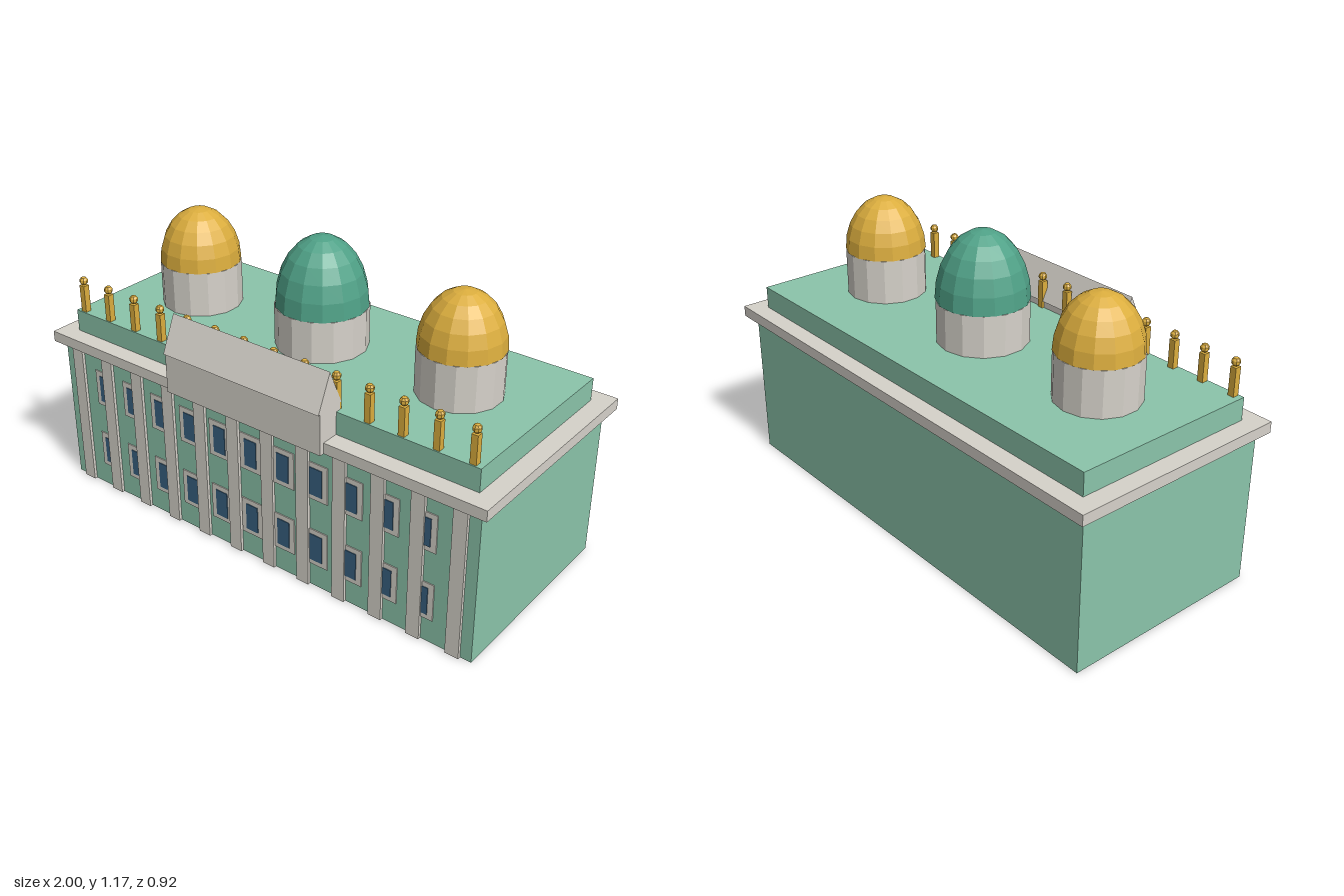
import * as THREE from 'three';

const material = (name, color) => {
  const m = new THREE.MeshStandardMaterial({ color, flatShading: true });
  m.name = name;
  return m;
};

export function createModel() {
  const stone = material('pale stone', 0xd6d2ca);
  const wall = material('pale green wall', 0x8bc4aa);
  const gold = material('gold', 0xdcae3e);
  const green = material('deep green', 0x50a288);
  const glass = material('blue glass', 0x386180);
  const model = new THREE.Group();
  model.name = 'palace';

  const add = (name, geometry, mat, x = 0, y = 0, z = 0, parent = model) => {
    const mesh = new THREE.Mesh(geometry, mat);
    mesh.name = name;
    mesh.position.set(x, y, z);
    parent.add(mesh);
    return mesh;
  };
  // Box given by its limits in x, y and z
  const block = (name, mat, [x0, x1], [y0, y1], [z0, z1], parent) =>
    add(name, new THREE.BoxGeometry(x1 - x0, y1 - y0, z1 - z0), mat,
      (x0 + x1) / 2, (y0 + y1) / 2, (z0 + z1) / 2, parent);
  const group = (name) => {
    const g = new THREE.Group();
    g.name = name;
    model.add(g);
    return g;
  };

  // Main storeys, cornice and attic
  block('mainBody', wall, [-0.965, 0.965], [0, 0.61], [-0.42, 0.4]);
  block('cornice', stone, [-1, 1], [0.61, 0.653], [-0.458, 0.432]);
  block('attic', wall, [-0.928, 0.928], [0.653, 0.742], [-0.388, 0.362]);

  // Front pilasters
  const pilasters = group('pilasters');
  for (let i = 0; i < 12; i++) {
    const x = -0.893 + (i * 1.786) / 11;
    block('pilaster', stone, [x - 0.0275, x + 0.0275], [0, 0.61], [0.395, 0.412], pilasters);
  }

  // Two rows of framed windows
  const windows = group('windows');
  for (const y of [0.173, 0.456]) {
    for (let i = -5; i <= 5; i++) {
      const x = i * 0.151;
      block('windowFrame', stone, [x - 0.05, x + 0.05], [y - 0.076, y + 0.076], [0.398, 0.404], windows);
      block('windowPane', glass, [x - 0.0275, x + 0.0275], [y - 0.056, y + 0.056], [0.4, 0.407], windows);
    }
  }

  // Central gable with a slightly overhanging roof
  const gable = group('centralGable');
  block('gableWall', stone, [-0.357, 0.357], [0.61, 0.775], [0.341, 0.451], gable);
  const profile = new THREE.Shape([[0.46, 0.77], [0.397, 0.91], [0.334, 0.77]]
    .map(([z, y]) => new THREE.Vector2(-z, y)));
  const roof = new THREE.ExtrudeGeometry(profile, { depth: 0.714, bevelEnabled: false });
  roof.rotateY(Math.PI / 2);
  add('gableRoof', roof, stone, -0.357, 0, 0, gable);

  // Posts with ball finials along the roof edge
  const posts = group('roofPosts');
  const ball = new THREE.SphereGeometry(0.017, 8, 5);
  for (let i = 0; i < 14; i++) {
    const x = -0.893 + (i * 1.786) / 13;
    block('post', gold, [x - 0.0125, x + 0.0125], [0.742, 0.852], [0.332, 0.357], posts);
    add('finial', ball, gold, x, 0.87, 0.344, posts);
  }

  // Domes on round drums
  const dome = (name, x, radius, top, height, mat) => {
    const g = group(name);
    add('drum', new THREE.CylinderGeometry(radius, radius, top - 0.742, 14), stone,
      x, (top + 0.742) / 2, -0.016, g);
    const cap = new THREE.SphereGeometry(1, 14, 6, 0, Math.PI * 2, 0, Math.PI / 2);
    cap.scale(radius, height, radius);
    add('cap', cap, mat, x, top, -0.016, g);
  };
  dome('centralDome', 0, 0.177, 0.905, 0.265, green);
  dome('leftDome', 0.605, 0.159, 0.92, 0.212, gold);
  dome('rightDome', -0.605, 0.159, 0.92, 0.212, gold);

  return model;
}
